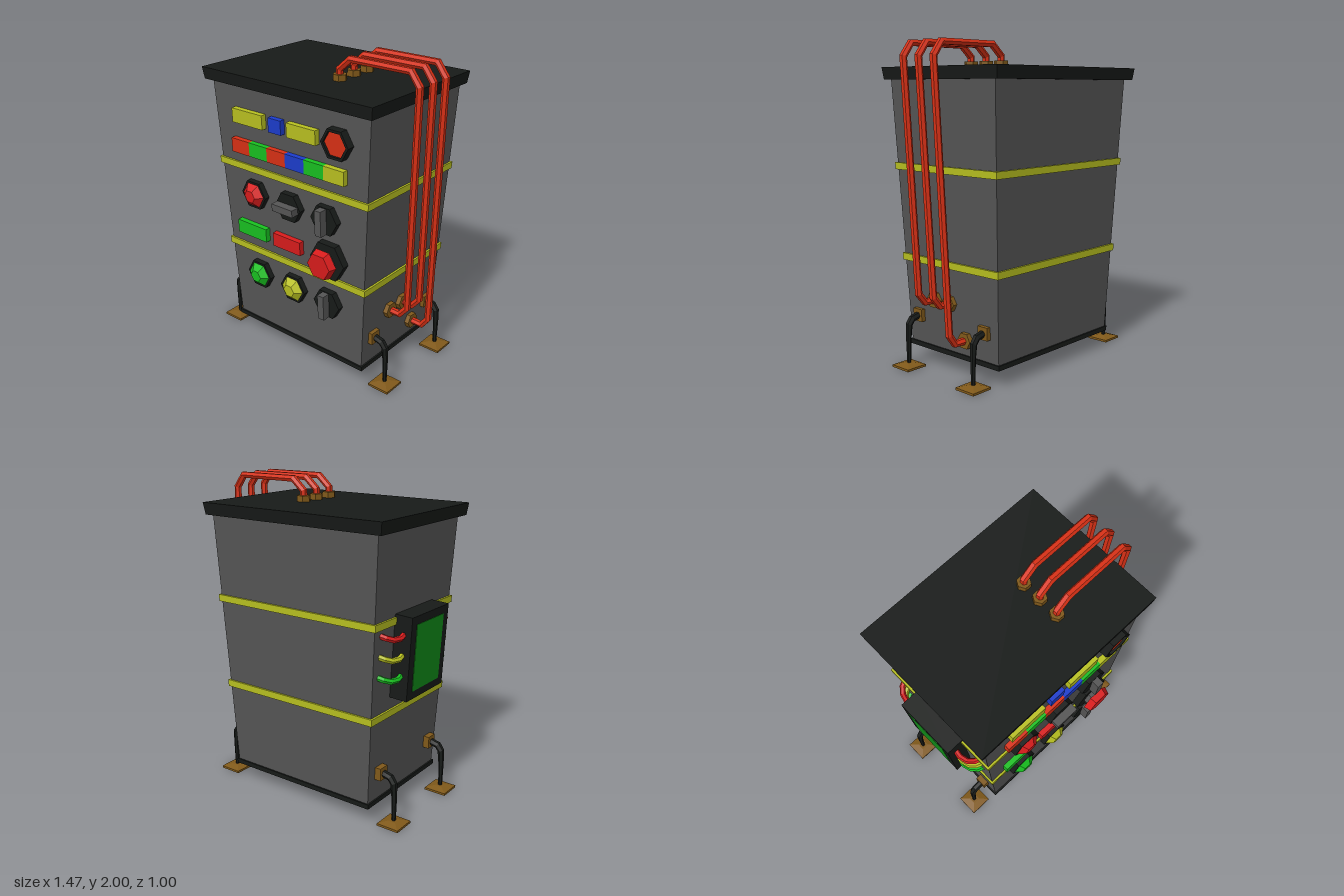
import * as THREE from 'three';

const COLORS = {
  body: 0x555555, black: 0x171a18, yellow: 0xb8c020, red: 0xd83015, crimson: 0xd81c1c,
  green: 0x18c020, blue: 0x1c3ccc, brass: 0x80591a, knob: 0x555555, screen: 0x108a18,
};
const mats = {};
for (const [k, color] of Object.entries(COLORS)) {
  mats[k] = new THREE.MeshStandardMaterial({ color, flatShading: true, side: THREE.DoubleSide });
}

function add(parent, name, geo, mat, x = 0, y = 0, z = 0) {
  const m = new THREE.Mesh(geo, mats[mat]);
  m.name = name;
  m.position.set(x, y, z);
  parent.add(m);
  return m;
}

// Box from y0 to y1 whose half sizes differ at bottom and top
function frustum(y0, hx0, hz0, y1, hx1, hz1) {
  const g = new THREE.BoxGeometry(2, 1, 2);
  const p = g.attributes.position;
  for (let i = 0; i < p.count; i++) {
    const top = p.getY(i) > 0;
    p.setXYZ(i, p.getX(i) * (top ? hx1 : hx0), top ? y1 : y0, p.getZ(i) * (top ? hz1 : hz0));
  }
  return g;
}

// Polyline with mitred corners, so a tube keeps its straight runs
class Polyline extends THREE.Curve {
  constructor(pts) {
    super();
    this.pts = pts.map((p) => new THREE.Vector3(...p));
  }
  getPoint(t) {
    return this.pts[Math.round(t * (this.pts.length - 1))].clone();
  }
  getPointAt(u) { return this.getPoint(u); }
  getTangentAt(u) {
    const n = this.pts.length - 1, i = Math.round(u * n), t = new THREE.Vector3();
    if (i > 0) t.add(this.pts[i].clone().sub(this.pts[i - 1]).normalize());
    if (i < n) t.add(this.pts[i + 1].clone().sub(this.pts[i]).normalize());
    return t.normalize();
  }
}

function pipe(pts, radii) {
  const n = pts.length - 1, sides = 6;
  const curve = new Polyline(pts);
  const g = new THREE.TubeGeometry(curve, n, 1, sides);
  const p = g.attributes.position, v = new THREE.Vector3();
  for (let i = 0; i < p.count; i++) {
    const ring = Math.floor(i / (sides + 1)), c = curve.pts[ring];
    const r = Array.isArray(radii) ? radii[ring] : radii;
    v.fromBufferAttribute(p, i).sub(c).multiplyScalar(r).add(c);
    p.setXYZ(i, v.x, v.y, v.z);
  }
  return g;
}

// Six-sided prism pointing along +z, starting at z0
function hex(rBack, rFront, z0, z1) {
  return new THREE.CylinderGeometry(rFront, rBack, z1 - z0, 6)
    .rotateY(Math.PI / 6).rotateX(Math.PI / 2).translate(0, 0, (z0 + z1) / 2);
}

function hexRing(outer, inner, depth) {
  const ring = (r) => Array.from({ length: 6 }, (_, i) =>
    new THREE.Vector2(r * Math.cos(i * Math.PI / 3), r * Math.sin(i * Math.PI / 3)));
  const s = new THREE.Shape(ring(outer));
  s.holes.push(new THREE.Path(ring(inner)));
  return new THREE.ExtrudeGeometry(s, { depth, bevelEnabled: false });
}

const CX = -0.018, CZ = -0.02;
const halfX = (y) => 0.521 + 0.053 * (y - 0.13);
const halfZ = (y) => 0.375 + 0.036 * (y - 0.13);

export function createModel() {
  const root = new THREE.Group();
  root.name = 'controlCabinet';

  // Tapered cabinet, base, lid and bands
  const shell = (name, mat, y0, y1, grow) => add(root, name,
    frustum(y0, halfX(y0) + grow, halfZ(y0) + grow, y1, halfX(y1) + grow, halfZ(y1) + grow), mat, CX, 0, CZ);
  shell('cabinetBody', 'body', 0.12, 1.78, 0);
  shell('basePlate', 'black', 0.105, 0.135, 0.01);
  shell('lowerBand', 'yellow', 0.653, 0.697, 0.013);
  shell('upperBand', 'yellow', 1.224, 1.267, 0.013);
  add(root, 'lid', frustum(1.77, 0.641, 0.469, 1.845, 0.651, 0.479), 'black', -0.024, 0, -0.021);

  // Front controls sit on the leaning front wall
  function onFront(name, x, y) {
    const g = new THREE.Group();
    g.name = name;
    g.position.set(x, y, CZ + halfZ(y));
    g.rotation.x = Math.atan(0.036);
    root.add(g);
    return g;
  }
  const lamps = [
    ['yellow', -0.445, -0.195, 1.583], ['blue', -0.145, -0.045, 1.583], ['yellow', 0, 0.22, 1.583],
    ['green', -0.47, -0.222, 0.822], ['crimson', -0.16, 0.063, 0.822],
  ];
  ['red', 'green', 'red', 'blue', 'green', 'yellow'].forEach((c, i) =>
    lamps.push([c, -0.468 + i * 0.148, -0.32 + i * 0.148, 1.386]));
  for (const [c, x0, x1, y] of lamps) {
    add(onFront('lampBar', (x0 + x1) / 2, y), 'lamp', new THREE.BoxGeometry(x1 - x0, 0.09, 0.07), c);
  }
  for (const [c, x, y] of [['crimson', -0.308, 1.085], ['green', -0.308, 0.513], ['yellow', -0.016, 0.513]]) {
    const g = onFront('gemLight', x, y);
    add(g, 'lightBase', hex(0.1, 0.1, -0.01, 0.036), 'black');
    add(g, 'lightGem', hex(0.085, 0.043, 0.036, 0.072), c);
  }
  for (const [x, y, upright] of [[-0.016, 1.085, false], [0.266, 1.085, true], [0.266, 0.513, true]]) {
    const g = onFront('rotarySwitch', x, y);
    add(g, 'switchBase', hex(0.1, 0.1, -0.01, 0.04), 'black');
    const grip = add(g, 'switchGrip', new THREE.BoxGeometry(0.164, 0.046, 0.052), 'knob', 0, 0, 0.066);
    if (upright) grip.rotation.z = Math.PI / 2;
  }
  const gauge = onFront('roundIndicator', 0.37, 1.583);
  add(gauge, 'indicatorRim', hexRing(0.1, 0.082, 0.06), 'black', 0, 0, -0.01);
  add(gauge, 'indicatorFace', hex(0.083, 0.083, -0.01, 0.035), 'red');
  const stop = onFront('stopButton', 0.285, 0.822);
  add(stop, 'buttonBase', hex(0.13, 0.13, -0.01, 0.045), 'black');
  add(stop, 'buttonStem', hex(0.065, 0.065, 0.045, 0.08), 'knob');
  add(stop, 'buttonCap', hex(0.1, 0.085, 0.075, 0.122), 'crimson');

  // Three conduits from the lid down the left wall
  const ends = [[0.155, 0.44], [0.025, 0.44], [-0.1, 0.235]];
  for (const [z, y] of ends) {
    const zb = z - 0.043, wall = CX + halfX(y);
    const kneeX = 0.715 - 0.045 * (1.9 - y - 0.06) / 1.4;
    const path = [
      [0.162, 1.84, z], [0.162, 1.91, z], [0.24, 1.978, z], [0.652, 1.978, z], [0.71, 1.9, z],
      [kneeX - 0.01, y + 0.06, zb], [0.61, y, zb], [wall, y, zb],
    ];
    add(root, 'conduit', pipe(path, 0.023), 'red');
    add(root, 'lidFitting', new THREE.CylinderGeometry(0.043, 0.043, 0.04, 6).rotateY(Math.PI / 6), 'brass', 0.162, 1.862, z);
    add(root, 'wallFitting', new THREE.CylinderGeometry(0.052, 0.052, 0.05, 6).rotateZ(Math.PI / 2), 'brass', wall + 0.005, y, zb);
  }

  // Bent legs with mounts and pads
  for (const s of [-1, 1]) {
    for (const z of [0.262, -0.3]) {
      const leg = new THREE.Group();
      leg.name = 'leg';
      leg.position.set(-0.024, 0, z);
      const path = [[0.51, 0.315], [0.565, 0.313], [0.612, 0.302], [0.636, 0.27], [0.641, 0.18], [0.641, 0.015]]
        .map(([x, y]) => [s * x, y, 0]);
      add(leg, 'legTube', pipe(path, [0.022, 0.022, 0.023, 0.022, 0.017, 0.012]), 'black');
      add(leg, 'legMount', new THREE.BoxGeometry(0.05, 0.078, 0.075), 'brass', s * 0.54, 0.316, 0);
      add(leg, 'footPad', frustum(0, 0.073, 0.073, 0.014, 0.073, 0.073), 'brass');
      add(leg, 'footTop', frustum(0.014, 0.073, 0.073, 0.028, 0.025, 0.025), 'brass');
      leg.children.slice(2).forEach((m) => { m.position.x = s * 0.641; });
      root.add(leg);
    }
  }

  // Screen box on the right wall, leaning with it
  const box = new THREE.Group();
  box.name = 'screenBox';
  box.position.set(CX - halfX(1.03), 1.03, -0.027);
  box.rotation.z = Math.atan(0.053);
  add(box, 'screenHousing', new THREE.BoxGeometry(0.13, 0.51, 0.41), 'black', -0.05);
  add(box, 'screen', new THREE.BoxGeometry(0.01, 0.41, 0.3), 'screen', -0.113);
  ['crimson', 'yellow', 'green'].forEach((c, i) => {
    const y = 0.145 - i * 0.125;
    for (const s of [-1, 1]) {
      const path = [[-0.06, y, s * 0.19], [-0.068, y - 0.012, s * 0.24], [-0.055, y - 0.012, s * 0.29],
        [-0.025, y, s * 0.325], [0.01, y + 0.01, s * 0.34]];
      add(box, 'screenCable', pipe(path, 0.018), c);
    }
  });
  root.add(box);

  return root;
}
